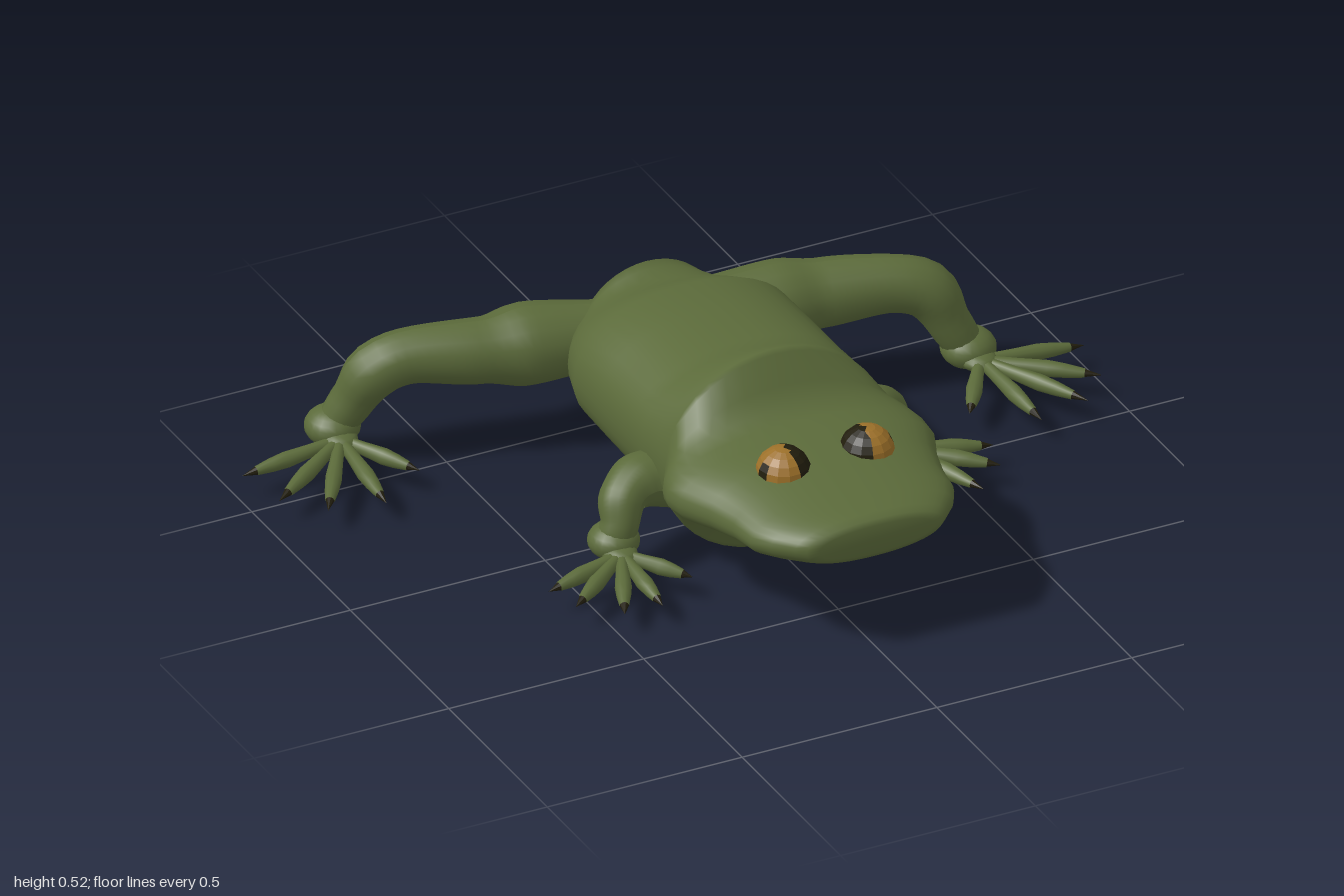
import * as THREE from 'three';

const skin = new THREE.MeshStandardMaterial({ color: 0x5b6a3a });
skin.name = 'olive skin';
const amber = new THREE.MeshStandardMaterial({ color: 0x9c7029, flatShading: true });
amber.name = 'amber iris';
const dark = new THREE.MeshStandardMaterial({ color: 0x211d0d, flatShading: true });
dark.name = 'dark claw and pupil';

const V = (x, y, z) => new THREE.Vector3(x, y, z);

function add(parent, name, geometry, material) {
  const mesh = new THREE.Mesh(geometry, material);
  mesh.name = name;
  parent.add(mesh);
  return mesh;
}

// Closed skin over sections [z, halfWidth, yMid, yTop, yBottom, squareness], tail to snout
function loft(sections, n = 40) {
  const pos = [], idx = [];
  for (const [z, w, mid, top, bottom, p = 0.9] of sections) {
    for (let j = 0; j < n; j++) {
      const a = (j / n) * Math.PI * 2, c = Math.cos(a), s = Math.sin(a);
      const h = s > 0 ? top - mid : mid - bottom;
      pos.push(Math.sign(c) * Math.abs(c) ** p * w, mid + Math.sign(s) * Math.abs(s) ** p * h, z);
    }
  }
  const last = sections.length - 1;
  for (let i = 0; i < last; i++) {
    for (let j = 0; j < n; j++) {
      const k = (j + 1) % n, a = i * n + j, b = i * n + k;
      idx.push(a, b, a + n, b, b + n, a + n);
    }
  }
  const ends = pos.length / 3;
  for (const i of [0, last]) pos.push(0, sections[i][2], sections[i][0]);
  for (let j = 0; j < n; j++) {
    const k = (j + 1) % n;
    idx.push(ends, k, j, ends + 1, last * n + j, last * n + k);
  }
  const g = new THREE.BufferGeometry();
  g.setAttribute('position', new THREE.Float32BufferAttribute(pos, 3));
  g.setIndex(idx);
  g.computeVertexNormals();
  return g;
}

// Tube through points [x, y, z, radius] with a changing radius
function limb(points, steps = 32, sides = 16) {
  const curve = new THREE.CatmullRomCurve3(points.map(([x, y, z]) => V(x, y, z)));
  const g = new THREE.TubeGeometry(curve, steps, 1, sides);
  const pos = g.attributes.position, nor = g.attributes.normal;
  for (let i = 0; i <= steps; i++) {
    const c = curve.getPointAt(i / steps);
    const t = curve.getUtoTmapping(i / steps) * (points.length - 1);
    const k = Math.min(Math.floor(t), points.length - 2);
    const r = THREE.MathUtils.lerp(points[k][3], points[k + 1][3], THREE.MathUtils.smoothstep(t - k, 0, 1));
    for (let j = 0; j <= sides; j++) {
      const v = i * (sides + 1) + j;
      pos.setXYZ(v, c.x + nor.getX(v) * r, c.y + nor.getY(v) * r, c.z + nor.getZ(v) * r);
    }
  }
  g.computeVertexNormals();
  return g;
}

// Foot: rounded heel, palm and five clawed toes given as [outward, forward] reaches
function foot(parent, name, side, x, z, toes, size) {
  const group = new THREE.Group();
  group.name = name;
  group.position.set(x, 0, z);
  parent.add(group);
  const heel = add(group, 'heel', new THREE.SphereGeometry(0.066 * size, 20, 12), skin);
  heel.scale.y = 0.72;
  heel.position.set(-side * 0.005, 0.095, -0.065);
  const palm = add(group, 'palm', new THREE.SphereGeometry(0.045 * size, 16, 10), skin);
  palm.scale.set(1, 0.55, 1.3);
  palm.position.set(0, 0.082, -0.03);
  for (const [out, forward] of toes) {
    const from = V(0, 0.083, -0.015), to = V(side * out, 0.062, forward);
    const dir = to.clone().sub(from), len = dir.length();
    const toe = new THREE.Group();
    toe.name = 'toe';
    toe.position.copy(from);
    toe.quaternion.setFromUnitVectors(V(0, 1, 0), dir.normalize());
    group.add(toe);
    const profile = [[0.013, 0], [0.016, 0.3], [0.02, 0.55], [0.017, 0.7], [0.011, 0.86]];
    add(toe, 'toe flesh', new THREE.LatheGeometry(
      profile.map(([r, t]) => new THREE.Vector2(r, t * len)), 10), skin);
    const claw = add(toe, 'claw', new THREE.ConeGeometry(0.011, 0.16 * len, 8), dark);
    claw.position.y = 0.92 * len;
  }
}

// Eye: faceted ball, amber outside with a dark inner side and a small outer pupil
function eye(parent, side) {
  const g = new THREE.SphereGeometry(0.065, 14, 10).toNonIndexed();
  const p = g.attributes.position;
  for (let i = 0; i < p.count; i += 3) {
    const c = V(0, 0, 0);
    for (let j = 0; j < 3; j++) c.add(V(p.getX(i + j), p.getY(i + j), p.getZ(i + j)));
    c.normalize();
    const pupil = c.distanceTo(V(side * 0.88, 0.3, 0.25).normalize()) < 0.26;
    g.addGroup(i, 3, pupil || c.x * side < -0.15 ? 1 : 0);
  }
  g.computeVertexNormals();
  const mesh = add(parent, side > 0 ? 'leftEye' : 'rightEye', g, [amber, dark]);
  mesh.position.set(side * 0.107, 0.36, 0.432);
  mesh.scale.y = 0.95;
}

export function createModel() {
  const model = new THREE.Group();
  model.name = 'amphibian';

  // Tail stub, rump ridge, trunk, neck collar and flat head in one skin
  add(model, 'body', loft([
    [-0.55, 0.008, 0.19, 0.21, 0.17],
    [-0.525, 0.06, 0.21, 0.27, 0.14],
    [-0.495, 0.14, 0.25, 0.37, 0.12],
    [-0.475, 0.17, 0.26, 0.415, 0.11, 1],
    [-0.455, 0.19, 0.26, 0.405, 0.115, 1],
    [-0.42, 0.225, 0.26, 0.392, 0.12],
    [-0.36, 0.26, 0.27, 0.418, 0.11],
    [-0.28, 0.285, 0.27, 0.455, 0.095],
    [-0.15, 0.286, 0.27, 0.457, 0.085],
    [0.01, 0.286, 0.27, 0.457, 0.075],
    [0.06, 0.285, 0.27, 0.468, 0.055],
    [0.12, 0.28, 0.265, 0.497, 0.022, 0.97],
    [0.165, 0.28, 0.26, 0.516, 0.0, 1],
    [0.18, 0.285, 0.26, 0.51, 0.018, 1],
    [0.215, 0.305, 0.265, 0.445, 0.11, 1],
    [0.25, 0.325, 0.27, 0.405, 0.155],
    [0.29, 0.335, 0.272, 0.39, 0.17],
    [0.34, 0.33, 0.275, 0.387, 0.178],
    [0.42, 0.295, 0.277, 0.383, 0.19],
    [0.5, 0.272, 0.28, 0.372, 0.203],
    [0.57, 0.262, 0.28, 0.36, 0.213],
    [0.62, 0.235, 0.285, 0.35, 0.222],
    [0.665, 0.195, 0.288, 0.343, 0.23],
    [0.685, 0.175, 0.288, 0.335, 0.238],
    [0.692, 0.145, 0.288, 0.322, 0.25],
  ]), skin);

  for (const side of [1, -1]) eye(model, side);

  // Hind legs, the left one drawn further forward
  add(model, 'leftHindLeg', limb([
    [0.1, 0.26, -0.43, 0.09], [0.3, 0.262, -0.41, 0.1], [0.41, 0.265, -0.395, 0.082],
    [0.58, 0.27, -0.345, 0.068], [0.645, 0.245, -0.325, 0.068], [0.69, 0.16, -0.3, 0.052],
    [0.73, 0.09, -0.285, 0.045]]), skin);
  add(model, 'rightHindLeg', limb([
    [-0.1, 0.26, -0.46, 0.08], [-0.3, 0.262, -0.5, 0.098], [-0.41, 0.265, -0.515, 0.078],
    [-0.58, 0.27, -0.56, 0.066], [-0.645, 0.245, -0.575, 0.066], [-0.69, 0.16, -0.605, 0.052],
    [-0.73, 0.09, -0.625, 0.045]]), skin);

  // Front legs
  const arm = (s, z0, z1) => limb([
    [s * 0.2, 0.19, z0, 0.07], [s * 0.3, 0.205, z0 - 0.005, 0.066], [s * 0.355, 0.185, (z0 + z1) / 2, 0.056],
    [s * 0.378, 0.13, z1 + 0.01, 0.045], [s * 0.395, 0.085, z1, 0.045]]);
  add(model, 'leftFrontLeg', arm(1, 0.05, -0.005), skin);
  add(model, 'rightFrontLeg', arm(-1, 0.09, 0.125), skin);

  // Feet
  const hindToes = [[0.26, 0], [0.235, 0.14], [0.155, 0.23], [0.02, 0.26], [-0.115, 0.16]];
  const frontToes = [[0.21, 0.03], [0.185, 0.12], [0.1, 0.2], [0.005, 0.205], [-0.115, 0.12]];
  foot(model, 'leftHindFoot', 1, 0.735, -0.22, hindToes, 1);
  foot(model, 'rightHindFoot', -1, -0.735, -0.56, hindToes, 1);
  foot(model, 'leftFrontFoot', 1, 0.395, 0.06, frontToes, 0.93);
  foot(model, 'rightFrontFoot', -1, -0.395, 0.195, frontToes, 0.93);

  return model;
}
